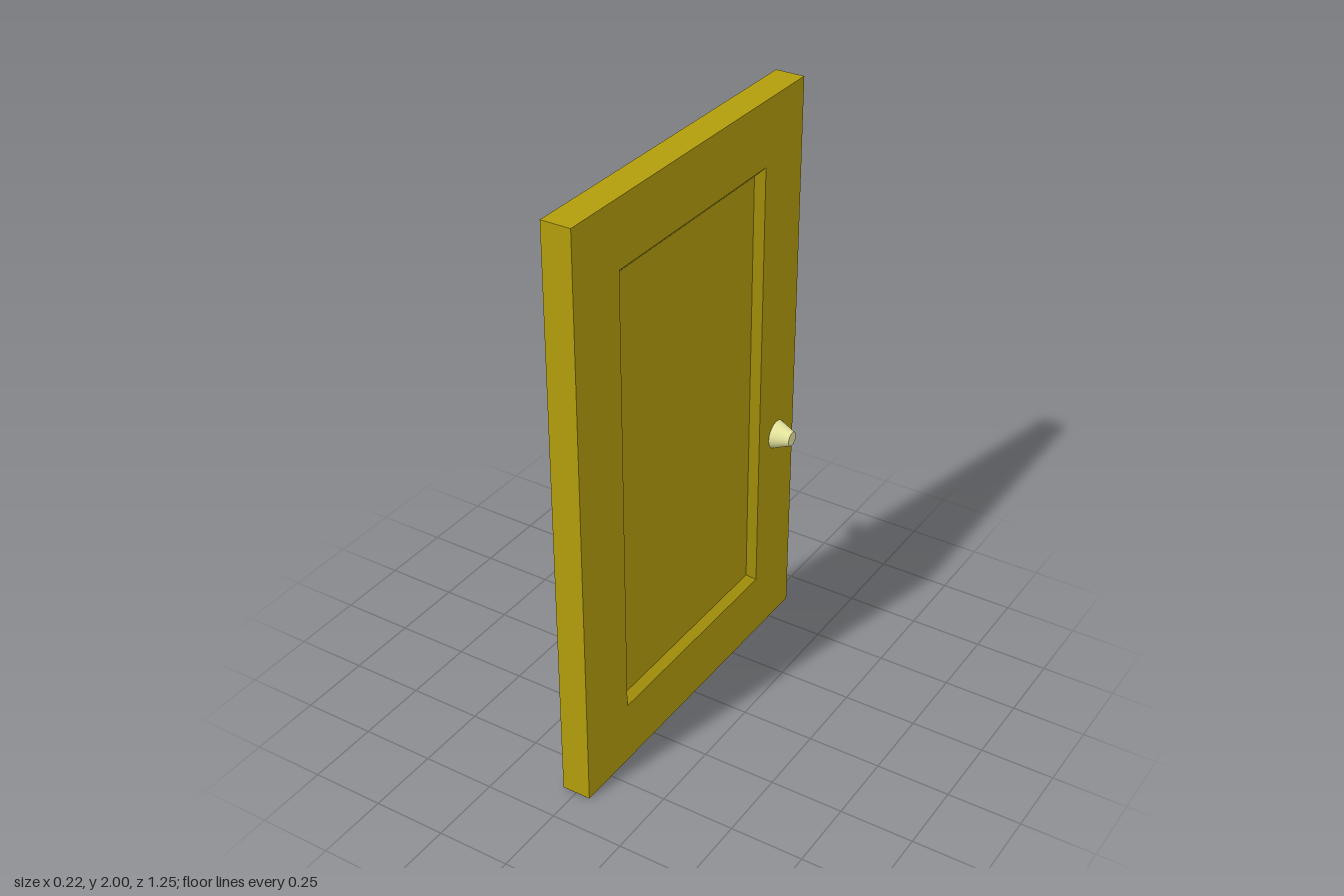
import * as THREE from 'three';

const MID_Y = 1;

// Lofts rectangular rings [x, halfWidth, halfHeight] from the +x centre panel to the -x one.
function loftRectangles(rings) {
  const positions = [];
  const corners = rings.map(([x, w, h]) => [
    [x, MID_Y - h, w], [x, MID_Y - h, -w], [x, MID_Y + h, -w], [x, MID_Y + h, w],
  ]);
  const quad = (a, b, c, d) => positions.push(...a, ...b, ...c, ...a, ...c, ...d);
  quad(...corners[0]);
  for (let i = 0; i < corners.length - 1; i++) {
    for (let j = 0; j < 4; j++) {
      const k = (j + 1) % 4;
      quad(corners[i][j], corners[i + 1][j], corners[i + 1][k], corners[i][k]);
    }
  }
  quad(...[...corners[corners.length - 1]].reverse());
  const geometry = new THREE.BufferGeometry();
  geometry.setAttribute('position', new THREE.Float32BufferAttribute(positions, 3));
  geometry.computeVertexNormals();
  return geometry;
}

export function createModel() {
  const model = new THREE.Group();
  model.name = 'door';
  const wood = new THREE.MeshStandardMaterial({ color: 0xb39e0c });
  const brass = new THREE.MeshStandardMaterial({ color: 0xe8e8a0 });

  // Door leaf: sunken panel with a bevelled border on each face
  const face = [
    [0.025, 0.376, 0.753],
    [0.05, 0.402, 0.779],
    [0.05, 0.625, 1],
  ];
  const back = face.map(([x, w, h]) => [-x, w, h]).reverse();
  const leaf = new THREE.Mesh(loftRectangles([...face, ...back]), wood);
  leaf.name = 'doorLeaf';
  model.add(leaf);

  // Tapered knob on each face, wide at the door and narrow at the tip
  const knobLength = 0.062;
  const knobGeometry = new THREE.CylinderGeometry(0.025, 0.05, knobLength, 32);
  for (const side of [1, -1]) {
    const knob = new THREE.Mesh(knobGeometry, brass);
    knob.name = side > 0 ? 'leftKnob' : 'rightKnob';
    knob.rotation.z = -side * Math.PI / 2;
    knob.position.set(side * (0.05 + knobLength / 2), 0.758, -0.515);
    model.add(knob);
  }

  return model;
}
